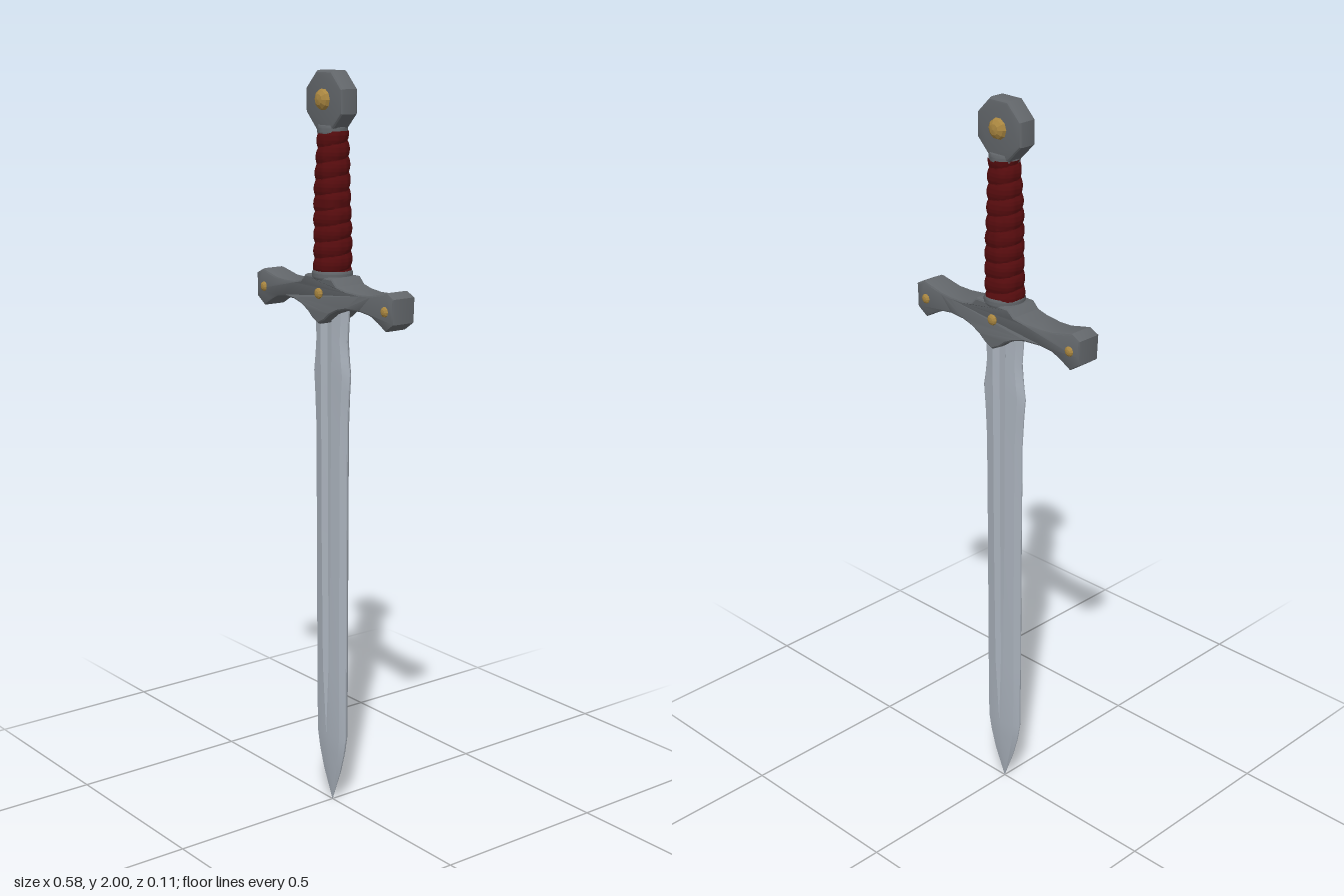
import * as THREE from 'three';
import { toCreasedNormals } from 'three/addons/utils/BufferGeometryUtils.js';

const paint = (name, color) => Object.assign(new THREE.MeshStandardMaterial({ color }), { name });

export function createModel() {
  const group = new THREE.Group();
  const blade = paint('blade steel', 0xa8b0ba);
  const iron = paint('dark iron', 0x62666a);
  const leather = paint('red leather', 0x560c0e);
  const gold = paint('aged gold', 0xa98640);

  const add = (name, geometry, material, x = 0, y = 0, z = 0) => {
    const mesh = new THREE.Mesh(geometry, material);
    mesh.name = name;
    mesh.position.set(x, y, z);
    group.add(mesh);
    return mesh;
  };

  // Blade: loft of fullered cross-sections, [y, half width, half thickness, fuller half width]
  const stations = [
    [1.42, 0.07, 0.022, 0.024], [1.38, 0.068, 0.022, 0.024], [1.31, 0.062, 0.022, 0.023],
    [1.26, 0.068, 0.022, 0.023], [1.22, 0.075, 0.022, 0.022], [1.17, 0.07, 0.022, 0.022],
    [1.08, 0.064, 0.022, 0.021], [0.8, 0.062, 0.022, 0.02], [0.4, 0.061, 0.022, 0.015],
    [0.2, 0.06, 0.021, 0.004], [0.15, 0.051, 0.018, 0.002], [0.09, 0.034, 0.013, 0.001],
    [0.04, 0.015, 0.006, 0.0005], [0, 0.0004, 0.0004, 0.0001],
  ];
  const positions = [], indices = [];
  const ringSize = 16;
  for (const [y, w, t, f] of stations) {
    const groove = t * (1 - 0.6 * Math.min(1, Math.max(0, f - 0.004) / 0.01));
    const quarter = [[w, 0.08 * t], [w * 0.8, t * 0.7], [f, t], [f * 0.45, groove]];
    const back = quarter.map(([x, z]) => [x, -z]).reverse();
    const left = quarter.map(([x, z]) => [-x, z]).reverse();
    const leftBack = quarter.map(([x, z]) => [-x, -z]);
    for (const [x, z] of [...quarter, ...left, ...leftBack, ...back]) positions.push(x, y, z);
  }
  for (let s = 0; s < stations.length - 1; s++) {
    for (let i = 0; i < ringSize; i++) {
      const a = s * ringSize + i, b = s * ringSize + (i + 1) % ringSize;
      indices.push(a, b, a + ringSize, b, b + ringSize, a + ringSize);
    }
  }
  const bladeGeometry = new THREE.BufferGeometry();
  bladeGeometry.setAttribute('position', new THREE.Float32BufferAttribute(positions, 3));
  bladeGeometry.setIndex(indices);
  // Ring order runs right, front, left, back, so reverse it to face outward where needed
  const index = bladeGeometry.getIndex();
  const outward = new THREE.Vector3().crossVectors(
    new THREE.Vector3(-1, 0, 0), new THREE.Vector3(0, -1, 0)).z > 0;
  if (!outward) for (let i = 0; i < index.count; i += 3) {
    const k = index.getX(i);
    index.setX(i, index.getX(i + 1));
    index.setX(i + 1, k);
  }
  add('blade', toCreasedNormals(bladeGeometry, 0.25), blade);

  // Crossguard: mirrored outline, bevelled, thicker toward the middle
  const right = [
    [0.055, 1.475], [0.075, 1.457], [0.11, 1.45], [0.16, 1.447], [0.2, 1.449], [0.225, 1.455],
    [0.263, 1.463], [0.287, 1.452], [0.285, 1.41], [0.285, 1.393], [0.258, 1.375], [0.23, 1.391],
    [0.2, 1.405], [0.16, 1.411], [0.11, 1.41], [0.075, 1.402], [0.045, 1.388], [0.025, 1.372],
  ];
  const outline = [...right, [0, 1.36], ...right.map(([x, y]) => [-x, y]).reverse()];
  const guard = new THREE.ExtrudeGeometry(
    new THREE.Shape(outline.map(([x, y]) => new THREE.Vector2(x, y))),
    { depth: 0.058, bevelThickness: 0.006, bevelSize: 0.005, bevelSegments: 2 });
  guard.translate(0, 0, -0.029);
  const gp = guard.attributes.position;
  for (let i = 0; i < gp.count; i++) {
    const swell = 1 - THREE.MathUtils.smoothstep(Math.abs(gp.getX(i)), 0.03, 0.23);
    gp.setZ(i, gp.getZ(i) * (1 + 0.38 * swell));
  }
  add('crossguard', toCreasedNormals(guard, 0.5), iron);

  // Collars at both ends of the grip
  const collar = (name, y, r, h) => {
    const profile = [[0, -h], [r * 0.94, -h], [r, -h * 0.4], [r, h * 0.4], [r * 0.94, h], [0, h]];
    const lathe = new THREE.LatheGeometry(profile.map(([x, v]) => new THREE.Vector2(x, v)), 24);
    add(name, toCreasedNormals(lathe, 0.6), iron, 0, y);
  };
  collar('lowerCollar', 1.482, 0.054, 0.011);
  collar('upperCollar', 1.852, 0.04, 0.012);

  // Grip: spiral leather wrap with overlapping bands
  const height = 0.364, turns = 9;
  const grip = new THREE.CylinderGeometry(1, 1, height, 36, 120, true);
  const p = grip.attributes.position;
  for (let i = 0; i < p.count; i++) {
    const y = p.getY(i), t = y / height + 0.5;
    const angle = Math.atan2(p.getX(i), p.getZ(i));
    const phase = t * turns - angle / (2 * Math.PI) + 20;
    const band = phase - Math.floor(phase);
    const base = 0.047 - 0.011 * t + 0.003 * Math.sin(t * Math.PI);
    const r = base + 0.006 * Math.pow(Math.sin(Math.PI * band), 0.6)
      + 0.001 * Math.sin(5 * angle + 9 * t);
    p.setXYZ(i, p.getX(i) * r, y, p.getZ(i) * r * 0.95);
  }
  add('gripWrap', toCreasedNormals(grip, 0.7), leather, 0, 1.668);

  // Pommel: bevelled octagonal disc
  const octagon = new THREE.Shape(Array.from({ length: 8 }, (_, i) => {
    const a = (i + 0.5) * Math.PI / 4;
    return new THREE.Vector2(0.072 * Math.cos(a), 0.072 * Math.sin(a));
  }));
  const pommel = new THREE.ExtrudeGeometry(octagon,
    { depth: 0.036, bevelThickness: 0.009, bevelSize: 0.009, bevelSegments: 3 });
  pommel.translate(0, 0, -0.018);
  add('pommel', toCreasedNormals(pommel, 0.5), iron, -0.004, 1.9245);

  // Faceted gold studs on both faces
  const stud = (name, x, y, z, r, depth) => {
    for (const side of [1, -1]) {
      const mesh = add(name + (side > 0 ? 'Front' : 'Back'),
        toCreasedNormals(new THREE.SphereGeometry(r, 10, 6), 0.3), gold, x, y, side * z);
      mesh.rotation.x = Math.PI / 2;
      mesh.scale.y = depth / r;
    }
  };
  stud('pommelStud', -0.004, 1.928, 0.026, 0.028, 0.02);
  stud('centreStud', 0, 1.435, 0.046, 0.015, 0.008);
  stud('leftStud', 0.257, 1.42, 0.034, 0.014, 0.009);
  stud('rightStud', -0.257, 1.42, 0.034, 0.014, 0.009);

  return group;
}
